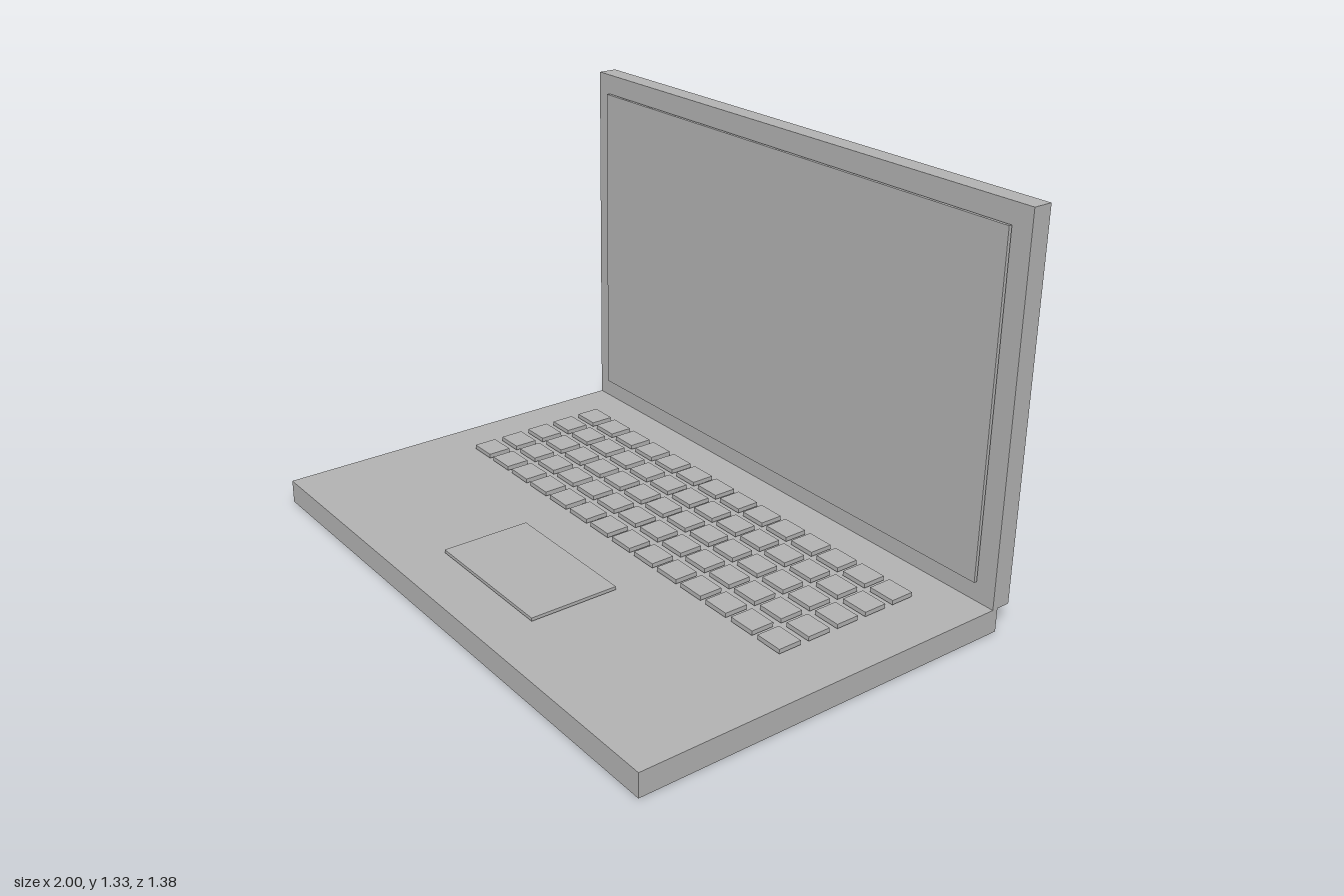
import * as THREE from 'three';

export function createModel() {
  const model = new THREE.Group();
  model.name = 'laptop';

  const grey = new THREE.MeshStandardMaterial({ color: 0xb2b2b2 });
  grey.name = 'light grey';

  // Box given by its min and max along each axis
  function box(name, [x0, x1], [y0, y1], [z0, z1], parent = model) {
    const mesh = new THREE.Mesh(new THREE.BoxGeometry(x1 - x0, y1 - y0, z1 - z0), grey);
    mesh.position.set((x0 + x1) / 2, (y0 + y1) / 2, (z0 + z1) / 2);
    mesh.name = name;
    parent.add(mesh);
    return mesh;
  }

  // Body and upright lid, the lid overhanging the back edge
  box('base', [-1, 1], [0, 0.08], [-0.641, 0.688]);
  box('lid', [-1, 1], [0.08, 1.327], [-0.688, -0.621]);

  // Thin panels standing just clear of the surfaces behind them
  box('screen', [-0.934, 0.934], [0.149, 1.261], [-0.615, -0.604]);
  box('trackpad', [-0.25, 0.25], [0.085, 0.096], [0.216, 0.52]);

  // Five rows of fourteen keys
  const keyboard = new THREE.Group();
  keyboard.name = 'keyboard';
  model.add(keyboard);
  const keyWidth = 0.095, keyDepth = 0.081;
  for (let row = 0; row < 5; row++) {
    for (let col = 0; col < 14; col++) {
      const x = -0.786 + col * 0.119;
      const z = -0.436 + row * 0.1115;
      box('key', [x - keyWidth / 2, x + keyWidth / 2], [0.086, 0.101],
        [z - keyDepth / 2, z + keyDepth / 2], keyboard);
    }
  }

  return model;
}
